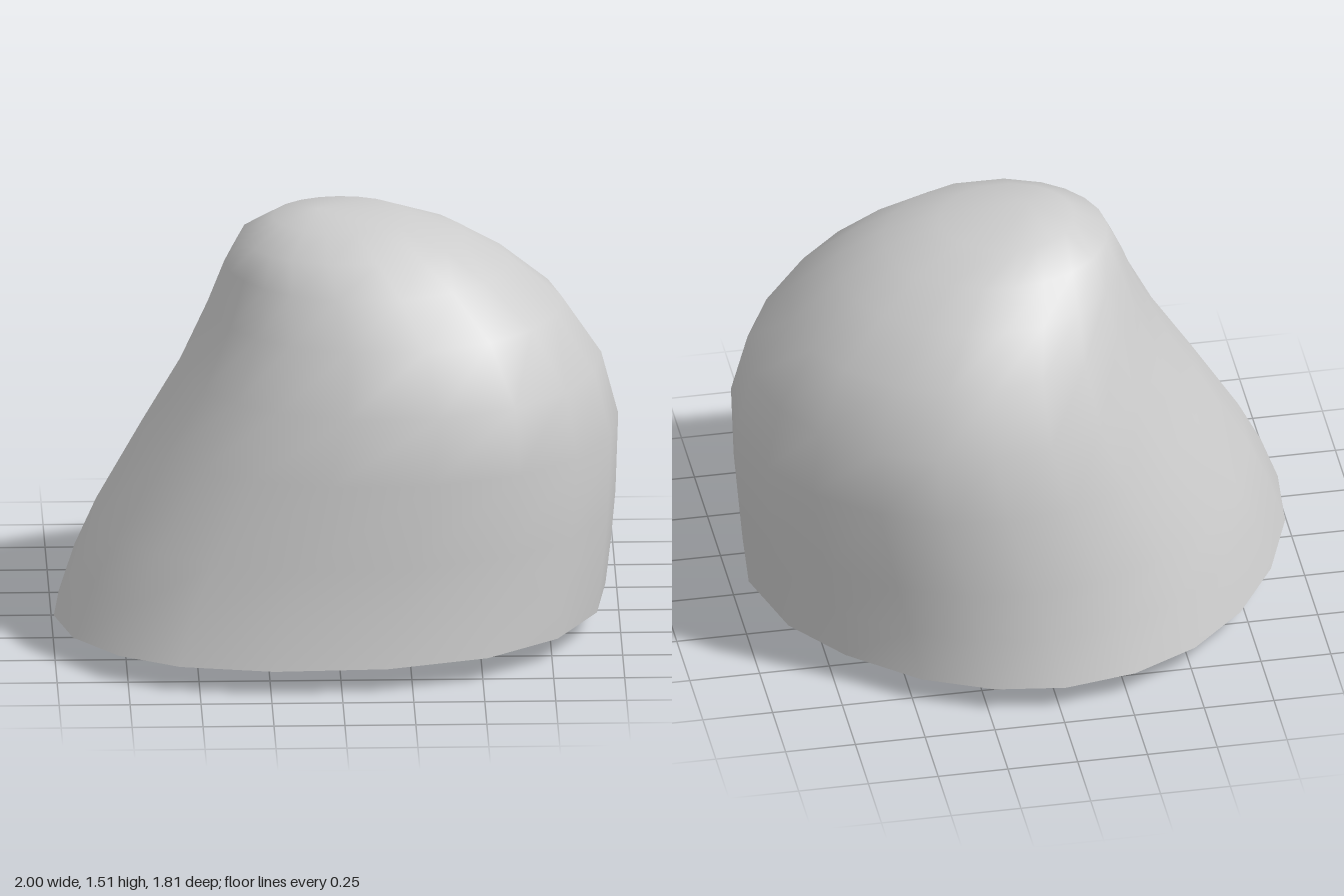
import * as THREE from 'three';

// Footprint, counter-clockwise seen from above: [x, z]
const OUTLINE = [
  [-1, .26], [-.94, .51], [-.78, .72], [-.56, .85], [-.22, .91], [.19, .89], [.55, .78],
  [.81, .57], [.96, .28], [1, -.05], [.91, -.35], [.74, -.57], [.5, -.77], [.25, -.88],
  [0, -.915], [-.26, -.87], [-.5, -.75], [-.7, -.56], [-.86, -.31], [-.97, -.02],
];

// Horizontal sections: [y, xMin, xMax, zMin, zMax]
const SECTIONS = [
  [.085, -1, .955, -.91, .91],
  [.26, -.94, .975, -.855, .865],
  [.43, -.86, .99, -.82, .83],
  [.72, -.69, 1, -.77, .78],
  [.95, -.55, .94, -.71, .72],
  [1.16, -.45, .8, -.595, .6],
  [1.31, -.39, .62, -.46, .47],
  [1.41, -.34, .46, -.33, .36],
  [1.48, -.22, .26, -.2, .22],
];

// One ring of points; the footprint shape eases into an ellipse with height
function ring([y, x0, x1, z0, z1]) {
  const blend = Math.min(1, y / 1.3);
  return OUTLINE.map(([x, z]) => {
    const a = Math.atan2(z, x);
    const u = THREE.MathUtils.lerp(x, Math.cos(a), blend);
    const v = THREE.MathUtils.lerp(z / .915, Math.sin(a), blend);
    return [(x0 + x1) / 2 + u * (x1 - x0) / 2, y, (z0 + z1) / 2 + v * (z1 - z0) / 2];
  });
}

// Skin a stack of rings and close it with a centre point
function loft(rings, tip, flip) {
  const n = OUTLINE.length;
  const index = [];
  const tri = (a, b, c) => (flip ? index.push(a, c, b) : index.push(a, b, c));
  rings.forEach((_, r) => {
    for (let i = 0; i < n; i++) {
      const a = r * n + i, b = r * n + (i + 1) % n;
      if (r === rings.length - 1) tri(a, b, rings.length * n);
      else {
        tri(a, b, b + n);
        tri(a, b + n, a + n);
      }
    }
  });
  const geometry = new THREE.BufferGeometry();
  geometry.setAttribute('position', new THREE.Float32BufferAttribute([...rings.flat(), tip].flat(), 3));
  geometry.setIndex(index);
  geometry.computeVertexNormals();
  return geometry;
}

export function createModel() {
  const group = new THREE.Group();
  group.name = 'boulder';
  const material = new THREE.MeshStandardMaterial({ color: 0xcccccc });

  // Leaning dome
  const body = new THREE.Mesh(loft(SECTIONS.map(ring), [-.06, 1.515, .04], false), material);
  body.name = 'body';

  // Shallow underside, deepest off-centre
  const base = ring(SECTIONS[0]);
  const low = [.5, 0, .07];
  const inner = base.map((p) => [
    THREE.MathUtils.lerp(p[0], low[0], .75), .014, THREE.MathUtils.lerp(p[2], low[2], .75),
  ]);
  const underside = new THREE.Mesh(loft([base, inner], low, true), material);
  underside.name = 'underside';

  group.add(body, underside);
  return group;
}
